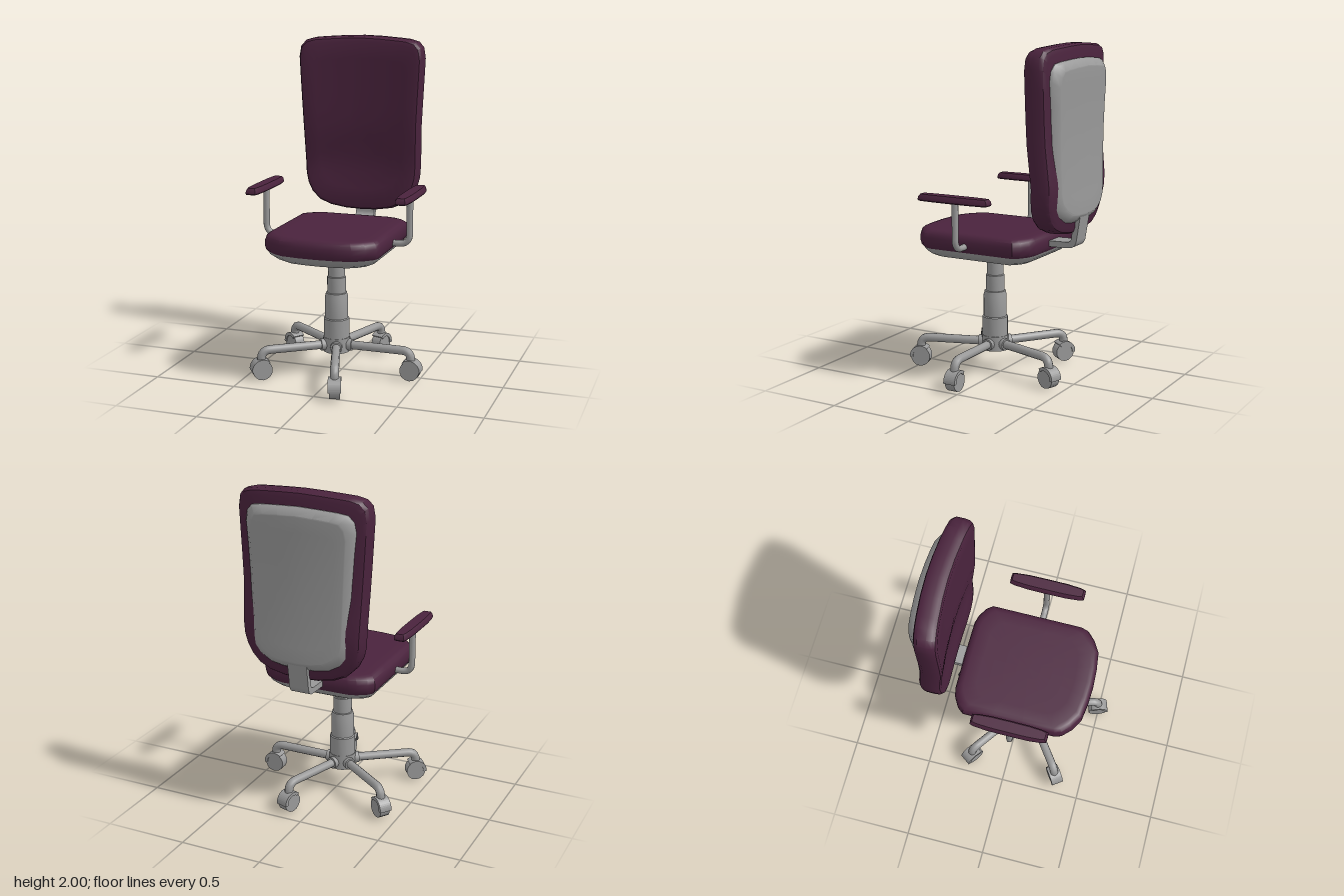
import * as THREE from 'three';
import { toCreasedNormals } from 'three/addons/utils/BufferGeometryUtils.js';

const mat = (name, color, extra = {}) => new THREE.MeshStandardMaterial({ name, color, ...extra });

// Padded slab: a half outline (bottom centre to top centre, +x side) is mirrored,
// stacked through [inset, depth] layers, closed at both ends and bent along z.
function slab(half, layers, bend = () => 0) {
  const mirrored = half.slice(1, -1).reverse().map(([x, y]) => [-x, y]);
  const outline = [...half, ...mirrored];
  const cy = (half[0][1] + half[half.length - 1][1]) / 2;
  const hx = Math.max(...half.map(p => p[0]));
  const hy = Math.abs(half[half.length - 1][1] - cy);
  const ring = ([inset, w], k = 1) => outline.map(([x, y]) => {
    const px = x * (1 - inset / hx) * k;
    const py = cy + (y - cy) * (1 - inset / hy) * k;
    return [px, py, w + bend(px, py)];
  });
  const steps = [0, 0.2, 0.4, 0.6, 0.8];
  const rings = [
    ...steps.map(k => ring(layers[0], k)),
    ...layers.map(l => ring(l)),
    ...steps.slice().reverse().map(k => ring(layers[layers.length - 1], k)),
  ];
  const pos = [];
  const n = outline.length;
  for (let i = 0; i < rings.length - 1; i++) {
    for (let j = 0; j < n; j++) {
      const a = rings[i][j], b = rings[i][(j + 1) % n];
      const d = rings[i + 1][j], c = rings[i + 1][(j + 1) % n];
      if (i > 0) pos.push(...a, ...b, ...c);
      else pos.push(...a, ...d, ...c).length;
      if (i > 0 && i < rings.length - 2) pos.push(...a, ...c, ...d);
    }
  }
  // the first fan runs outward from the centre, so its corners are reversed
  for (let t = 0; t < n; t++) {
    const o = t * 9;
    for (let k = 3; k < 6; k++) [pos[o + k], pos[o + k + 3]] = [pos[o + k + 3], pos[o + k]];
  }
  const g = new THREE.BufferGeometry();
  g.setAttribute('position', new THREE.Float32BufferAttribute(pos, 3));
  return toCreasedNormals(g, 0.6);
}

// Tube with one rounded corner
function elbow(a, corner, b, bendRadius, radius, sides = 10) {
  const [A, C, B] = [a, corner, b].map(p => new THREE.Vector3(...p));
  const p = C.clone().add(A.clone().sub(C).setLength(bendRadius));
  const q = C.clone().add(B.clone().sub(C).setLength(bendRadius));
  const path = new THREE.CurvePath();
  path.add(new THREE.LineCurve3(A, p));
  path.add(new THREE.QuadraticBezierCurve3(p, C, q));
  path.add(new THREE.LineCurve3(q, B));
  return new THREE.TubeGeometry(path, 32, radius, sides);
}

export function createModel() {
  const fabric = mat('plum fabric', 0x4a233d);
  const metal = mat('grey metal', 0x999999);
  const model = new THREE.Group();
  model.name = 'officeChair';
  const chair = new THREE.Group();
  chair.name = 'chair';
  chair.position.x = -0.016;
  model.add(chair);

  const add = (parent, name, geometry, material, x = 0, y = 0, z = 0) => {
    const m = new THREE.Mesh(geometry, material);
    m.name = name;
    m.position.set(x, y, z);
    parent.add(m);
    return m;
  };

  // Seat cushion and the shallow shell below it (outline y runs toward the back)
  const seatOutline = [
    [0, -0.452], [0.11, -0.447], [0.22, -0.432], [0.29, -0.39], [0.34, -0.34], [0.353, -0.3],
    [0.353, -0.1], [0.353, 0.1], [0.353, 0.27], [0.325, 0.305], [0.27, 0.337], [0.22, 0.35], [0, 0.352],
  ];
  add(chair, 'seatCushion', slab(seatOutline, [
    [0.02, 0.79], [0.006, 0.805], [0, 0.83], [0, 0.86], [0.008, 0.885], [0.025, 0.9], [0.045, 0.904],
  ]).rotateX(-Math.PI / 2), fabric);
  add(chair, 'seatShell', slab(seatOutline, [
    [0.13, 0.727], [0.085, 0.737], [0.05, 0.755], [0.026, 0.775], [0.016, 0.795],
  ]).rotateX(-Math.PI / 2), metal);

  // Backrest cushion, wrapped around the sitter and hollowed above its lower edge
  const backOutline = [
    [0, 0.914], [0.1, 0.918], [0.2, 0.935], [0.27, 0.965], [0.32, 1.015], [0.348, 1.07], [0.363, 1.13],
    [0.367, 1.2], [0.37, 1.3], [0.374, 1.45], [0.382, 1.6], [0.39, 1.75], [0.396, 1.87],
    [0.385, 1.935], [0.355, 1.968], [0.3, 1.983], [0.24, 1.988], [0.12, 1.996], [0, 2],
  ];
  const backBend = (x, y) => 0.23 * x * x - 0.025 * Math.exp(-(((y - 1.2) / 0.16) ** 2));
  add(chair, 'backCushion', slab(backOutline, [
    [0.035, -0.515], [0.012, -0.508], [0.001, -0.49], [0, -0.44], [0.004, -0.41], [0.014, -0.392], [0.035, -0.384],
  ], backBend), fabric);

  // Rear shell of the backrest
  const shellOutline = [
    [0, 0.985], [0.1, 0.988], [0.18, 1.0], [0.25, 1.035], [0.29, 1.08], [0.305, 1.14], [0.31, 1.3],
    [0.317, 1.5], [0.326, 1.68], [0.334, 1.8], [0.322, 1.86], [0.29, 1.895], [0.23, 1.905], [0.12, 1.913], [0, 1.918],
  ];
  const shellBend = (x, y) => 0.23 * x * x + 0.015 * (1 - ((y - 1.45) / 0.46) ** 2);
  add(chair, 'backShell', slab(shellOutline, [
    [0.05, -0.563], [0.042, -0.562], [0.01, -0.535], [0, -0.52], [0, -0.47],
  ], shellBend), metal);

  // Flat bent bracket from the seat up to the backrest
  const strip = new THREE.Shape();
  strip.moveTo(-0.25, 0.82);
  strip.lineTo(-0.48, 0.828);
  strip.quadraticCurveTo(-0.522, 0.832, -0.528, 0.88);
  strip.lineTo(-0.553, 1.04);
  strip.lineTo(-0.51, 1.04);
  strip.lineTo(-0.495, 0.89);
  strip.quadraticCurveTo(-0.492, 0.865, -0.465, 0.862);
  strip.lineTo(-0.25, 0.856);
  add(chair, 'backBracket', new THREE.ExtrudeGeometry(strip, { depth: 0.12, bevelEnabled: false })
    .translate(0, 0, -0.06).rotateY(-Math.PI / 2), metal);

  // Armrests
  const padOutline = [
    [0, -0.229], [0.03, -0.227], [0.037, -0.2], [0.044, -0.12], [0.045, 0],
    [0.044, 0.12], [0.037, 0.2], [0.03, 0.227], [0, 0.229],
  ];
  for (const [side, s] of [['left', 1], ['right', -1]]) {
    const arm = new THREE.Group();
    arm.name = side + 'Armrest';
    chair.add(arm);
    add(arm, side + 'ArmPad', slab(padOutline, [[0.004, 1.106], [0, 1.112], [0.002, 1.13], [0.013, 1.145]])
      .rotateX(-Math.PI / 2), fabric, s * 0.456, 0, 0.049);
    add(arm, side + 'ArmTube', elbow([s * 0.3, 0.832, 0.047], [s * 0.45, 0.832, 0.047], [s * 0.45, 1.115, 0.047], 0.06, 0.019),
      metal);
  }

  // Base, centred under the seat
  const base = new THREE.Group();
  base.name = 'base';
  base.position.set(-0.002, 0, 0.047);
  chair.add(base);

  // Stepped gas column
  const steps = [
    [0, 0.135], [0.08, 0.135], [0.08, 0.225], [0.077, 0.225], [0.077, 0.34], [0.07, 0.345], [0.07, 0.475],
    [0.064, 0.495], [0.064, 0.5], [0.056, 0.502], [0.056, 0.598], [0.05, 0.602], [0.05, 0.708],
    [0.06, 0.71], [0.06, 0.73], [0, 0.73],
  ].map(p => new THREE.Vector2(...p));
  add(base, 'column', toCreasedNormals(new THREE.LatheGeometry(steps, 24), 0.6), metal);

  // Five legs with casters
  const legTube = elbow([0.05, 0.178, 0], [0.468, 0.178, 0], [0.468, 0.1, 0], 0.055, 0.026);
  const collar = new THREE.CylinderGeometry(0.036, 0.036, 0.05, 14).rotateZ(Math.PI / 2);
  const wheel = new THREE.CylinderGeometry(0.06, 0.06, 0.062, 14).rotateX(Math.PI / 2);
  const arc = new THREE.Shape();
  arc.absarc(0, 0, 0.066, -0.1, 2.3, false);
  arc.absarc(0, 0, 0.046, 2.3, -0.1, true);
  const hood = new THREE.ExtrudeGeometry(arc, { depth: 0.076, bevelEnabled: false, curveSegments: 8 }).translate(0, 0, -0.038);
  for (let i = 0; i < 5; i++) {
    const leg = new THREE.Group();
    leg.name = 'leg' + (i + 1);
    leg.rotation.y = i * Math.PI * 2 / 5;
    base.add(leg);
    add(leg, 'legTube', legTube, metal);
    add(leg, 'legCollar', collar, metal, 0.075, 0.178, 0);
    add(leg, 'casterWheel', wheel, metal, 0.466, 0.06, 0);
    add(leg, 'casterHood', hood, metal, 0.466, 0.062, 0);
  }
  return model;
}
